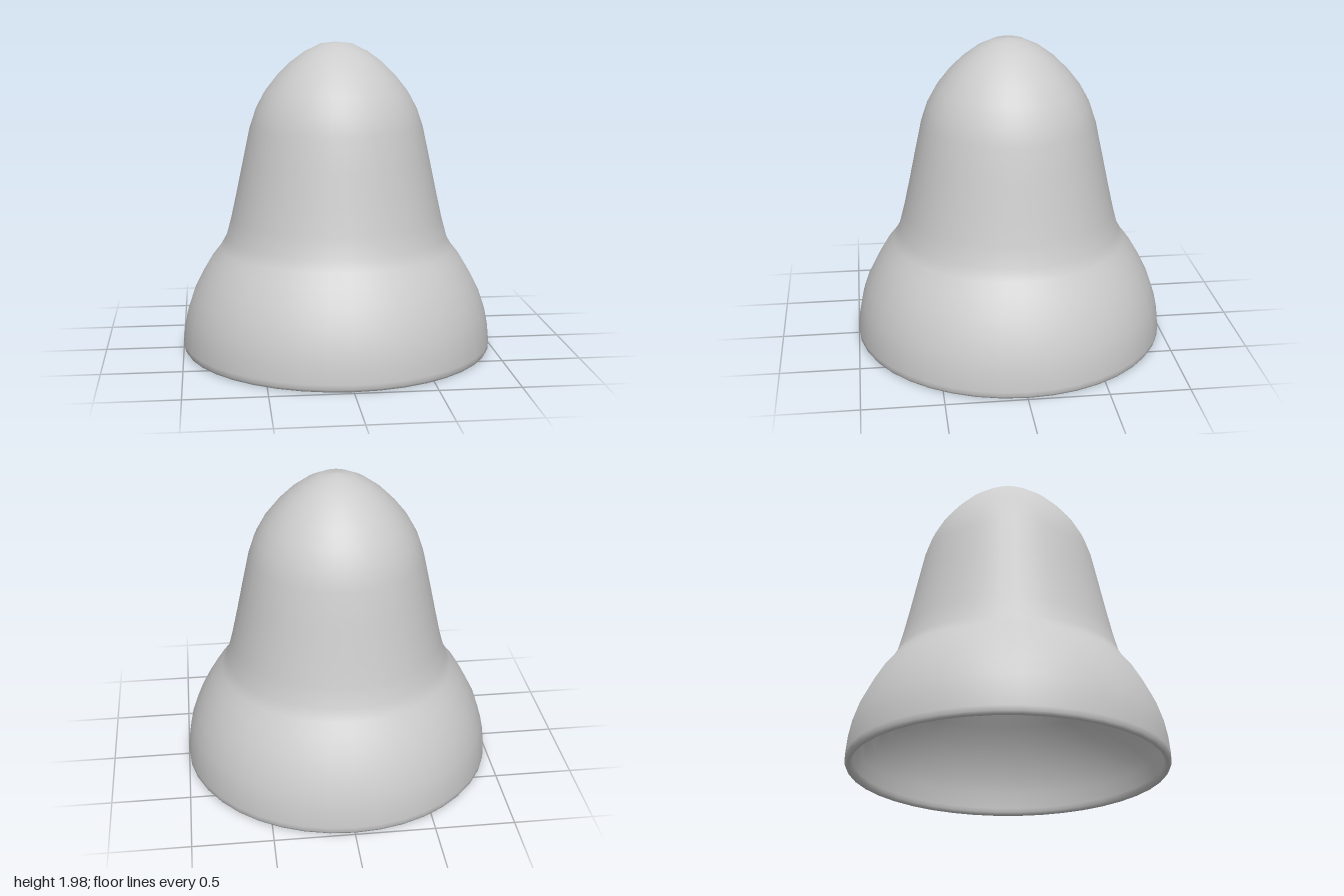
import * as THREE from 'three';

export function createModel() {
  const group = new THREE.Group();
  const material = new THREE.MeshStandardMaterial({ color: 0xcccccc });
  const WALL = 0.045;

  // Outer silhouette from just above the rim to the crown: [radius, height]
  const outer = [
    [1, 0.05], [0.99, 0.15], [0.97, 0.25], [0.93, 0.37], [0.875, 0.48], [0.81, 0.59],
    [0.755, 0.66], [0.715, 0.73], [0.68, 0.86], [0.64, 1.04], [0.6, 1.23], [0.555, 1.44],
    [0.515, 1.56], [0.455, 1.67], [0.38, 1.765], [0.295, 1.85], [0.2, 1.92], [0.1, 1.968], [0, 1.98],
  ].map(([x, y]) => new THREE.Vector2(x, y));

  // Inner wall: the silhouette moved inward along its normals
  const inner = outer.map((p, i) => {
    if (i === outer.length - 1) return new THREE.Vector2(0, p.y - WALL);
    const t = outer[i + 1].clone().sub(outer[Math.max(i - 1, 0)]).normalize();
    return new THREE.Vector2(Math.max(p.x - t.y * WALL, 0), p.y + t.x * WALL);
  });

  // Rounded lip joining the inner and outer walls
  const lip = [[0.957, 0.02], [0.968, 0.004], [0.978, 0], [0.988, 0.004], [0.998, 0.02]]
    .map(([x, y]) => new THREE.Vector2(x, y));

  // Hollow bell: down the inside, round the lip and up the outside
  const bell = new THREE.Mesh(
    new THREE.LatheGeometry([...inner.reverse(), ...lip, ...outer], 40),
    material
  );
  bell.name = 'bellShell';
  group.add(bell);
  return group;
}
